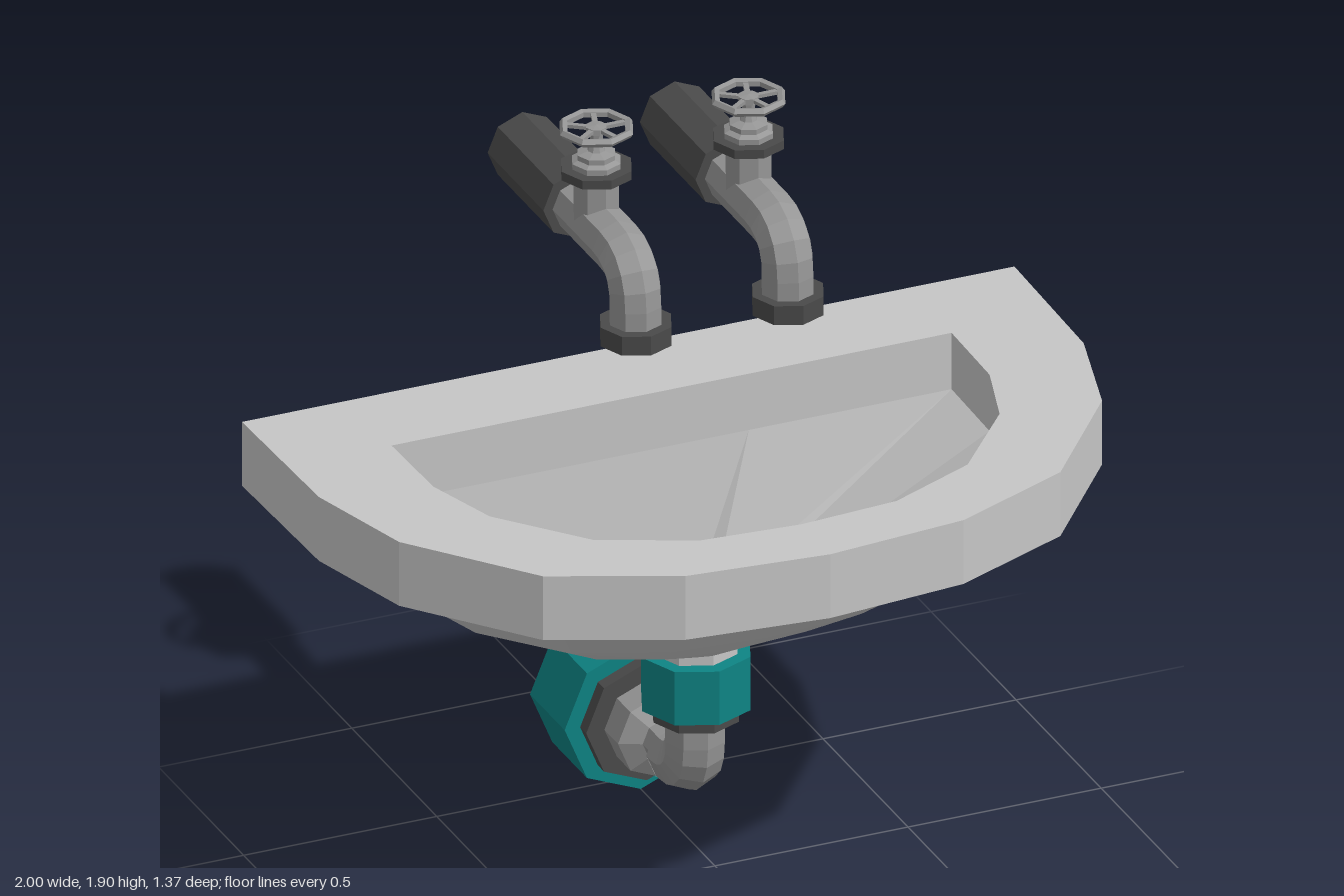
import * as THREE from 'three';

const mat = (name, color) => {
  const m = new THREE.MeshStandardMaterial({ color, flatShading: true, side: THREE.DoubleSide });
  m.name = name;
  return m;
};

// Mirrors a right-hand half outline [x, y, z] (back to front centre) into a full ring
const mirror = (half) => [...half, ...half.slice(0, -1).reverse().map(([x, y, z]) => [-x, y, z])];

// Skins consecutive closed rings with flat quads
function loft(rings) {
  const pos = [];
  for (let r = 0; r < rings.length - 1; r++) {
    const a = rings[r], b = rings[r + 1], n = a.length;
    for (let i = 0; i < n; i++) {
      const j = (i + 1) % n;
      pos.push(...a[i], ...a[j], ...b[i], ...a[j], ...b[j], ...b[i]);
    }
  }
  const g = new THREE.BufferGeometry();
  g.setAttribute('position', new THREE.Float32BufferAttribute(pos, 3));
  g.computeVertexNormals();
  return g;
}

// Eight-sided turned part from [radius, height] pairs
const turned = (pts, sides = 8) =>
  new THREE.LatheGeometry(pts.map(([r, y]) => new THREE.Vector2(r, y)), sides);

// Pipe through straight - quarter bend - straight, in the x = 0 plane; points are [y, z]
function bentPipe(start, bendStart, corner, bendEnd, end, radius) {
  const v = ([y, z]) => new THREE.Vector3(0, y, z);
  const bend = new THREE.QuadraticBezierCurve3(v(bendStart), v(corner), v(bendEnd));
  const pts = [v(start), ...bend.getPoints(5), v(end)];
  const path = new THREE.CurvePath();
  for (let i = 0; i < pts.length - 1; i++) path.add(new THREE.LineCurve3(pts[i], pts[i + 1]));
  // ring at every path point, swept with the local tangent
  const rings = pts.map((p, i) => {
    const t = pts[Math.min(i + 1, pts.length - 1)].clone().sub(pts[Math.max(i - 1, 0)]).normalize();
    const side = new THREE.Vector3(1, 0, 0);
    const up = new THREE.Vector3().crossVectors(t, side);
    return Array.from({ length: 8 }, (_, k) => {
      const a = (k / 8) * Math.PI * 2;
      return p.clone().addScaledVector(side, -Math.cos(a) * radius)
        .addScaledVector(up, -Math.sin(a) * radius).toArray();
    });
  });
  return loft(rings.reverse());
}

export function createModel() {
  const porcelain = mat('porcelain', 0xc6c6c6);
  const metal = mat('pipe metal', 0x959595);
  const dark = mat('dark metal', 0x4a4a4a);
  const teal = mat('teal nut', 0x0e8484);

  const model = new THREE.Group();
  model.name = 'washbasin';
  const add = (parent, name, geometry, material, x = 0, y = 0, z = 0) => {
    const m = new THREE.Mesh(geometry, material);
    m.name = name;
    m.position.set(x, y, z);
    parent.add(m);
    return m;
  };

  // Basin outlines
  const rimLine = [[0.2, -0.51], [1, -0.51], [0.99, -0.08], [0.91, 0.21], [0.67, 0.51], [0.36, 0.645], [0, 0.68]];
  const holeLine = [[0.2, -0.255], [0.725, -0.255], [0.72, -0.02], [0.66, 0.175], [0.485, 0.385], [0.255, 0.49], [0, 0.51]];
  const level = (line, y) => mirror(line.map(([x, z]) => [x, y, z]));
  const shell = (w, front, y, backY = y) => mirror(rimLine.map(([x, z], i) =>
    [i ? x * w : 0.2, i ? y : backY, -0.44 + ((z + 0.51) / 1.19) * (front + 0.44)]));
  const drain = (y, z) => mirror(rimLine.map((_, i) => {
    const a = THREE.MathUtils.degToRad(25 + (i * 155) / 6);
    return [0.1 * Math.sin(a), y, z - 0.1 * Math.cos(a)];
  }));

  add(model, 'basinInside', loft([drain(0.6, -0.13), level(holeLine, 1.0), level(holeLine, 1.15)]), porcelain);
  add(model, 'rim', loft([level(holeLine, 1.15), level(rimLine, 1.15), level(rimLine, 0.98), shell(0.9, 0.59, 0.98)]), porcelain);
  add(model, 'basinOutside', loft([
    shell(0.9, 0.59, 0.98), shell(0.69, 0.32, 0.76), shell(0.5, 0.15, 0.65, 0.6), drain(0.552, -0.115),
  ]), porcelain);

  // Drain
  const trap = new THREE.Group();
  trap.name = 'drainPipe';
  model.add(trap);
  add(trap, 'drainOutlet', turned([[0.107, 0.5], [0.107, 0.57]]), porcelain, 0, 0, -0.115);
  add(trap, 'upperNut', turned([[0.105, 0.388], [0.139, 0.388], [0.139, 0.53], [0.1, 0.53]]), teal, 0, 0, -0.112);
  add(trap, 'upperCollar', turned([[0.075, 0.352], [0.11, 0.352], [0.11, 0.39]]), dark, 0, 0, -0.112);
  add(trap, 'elbow', bentPipe([0.4, -0.117], [0.29, -0.117], [0.2, -0.117], [0.2, -0.21], [0.2, -0.232], 0.076), metal);
  // parts along the rear axis: heights run towards the wall
  const rear = (parent, name, pts, material, y) => {
    add(parent, name, turned(pts), material, 0, y, 0).rotation.x = -Math.PI / 2;
  };
  rear(trap, 'wallPipe', [[0.076, 0.225], [0.057, 0.24], [0.057, 0.295], [0.11, 0.32], [0.11, 0.42]], metal, 0.197);
  rear(trap, 'wallCollar', [[0.1, 0.4], [0.157, 0.4], [0.157, 0.45], [0.1, 0.45]], dark, 0.197);
  rear(trap, 'wallNut', [[0.15, 0.436], [0.197, 0.436], [0.197, 0.64]], teal, 0.197);

  // Taps
  for (const side of [1, -1]) {
    const tap = new THREE.Group();
    tap.name = side > 0 ? 'leftTap' : 'rightTap';
    tap.position.x = side * 0.197;
    model.add(tap);

    add(tap, 'spout', bentPipe([1.45, -0.02], [1.53, -0.02], [1.635, -0.02], [1.635, -0.125], [1.635, -0.68], 0.066), metal);
    add(tap, 'spoutCollar', turned([[0.055, 1.435], [0.091, 1.435], [0.091, 1.485], [0.055, 1.485]]), dark, 0, 0, -0.018);
    rear(tap, 'wallSleeve', [[0.06, 0.357], [0.09, 0.357], [0.09, 0.685], [0.063, 0.685]], dark, 1.637);

    // valve and stem
    const z = -0.25;
    add(tap, 'valveBody', turned([[0.058, 1.62], [0.058, 1.77]]), metal, 0, 0, z);
    add(tap, 'valveCollar', turned([[0.05, 1.768], [0.09, 1.768], [0.09, 1.791], [0.05, 1.791]]), dark, 0, 0, z);
    add(tap, 'valveStem', turned([
      [0.062, 1.79], [0.062, 1.805], [0.048, 1.812], [0.048, 1.825], [0.022, 1.832],
      [0.015, 1.85], [0.018, 1.878], [0.026, 1.88], [0.026, 1.895], [0, 1.898],
    ]), metal, 0, 0, z);

    // handwheel
    const wheel = new THREE.Group();
    wheel.name = 'handwheel';
    wheel.position.set(0, 1.889, z);
    tap.add(wheel);
    add(wheel, 'wheelRim', new THREE.TorusGeometry(0.083, 0.011, 5, 8), metal).rotation.x = Math.PI / 2;
    for (let i = 0; i < 5; i++) {
      const a = (i / 5) * Math.PI * 2;
      add(wheel, 'spoke', new THREE.BoxGeometry(0.066, 0.009, 0.013), metal,
        Math.cos(a) * 0.05, 0, -Math.sin(a) * 0.05).rotation.y = a;
    }
  }
  return model;
}
